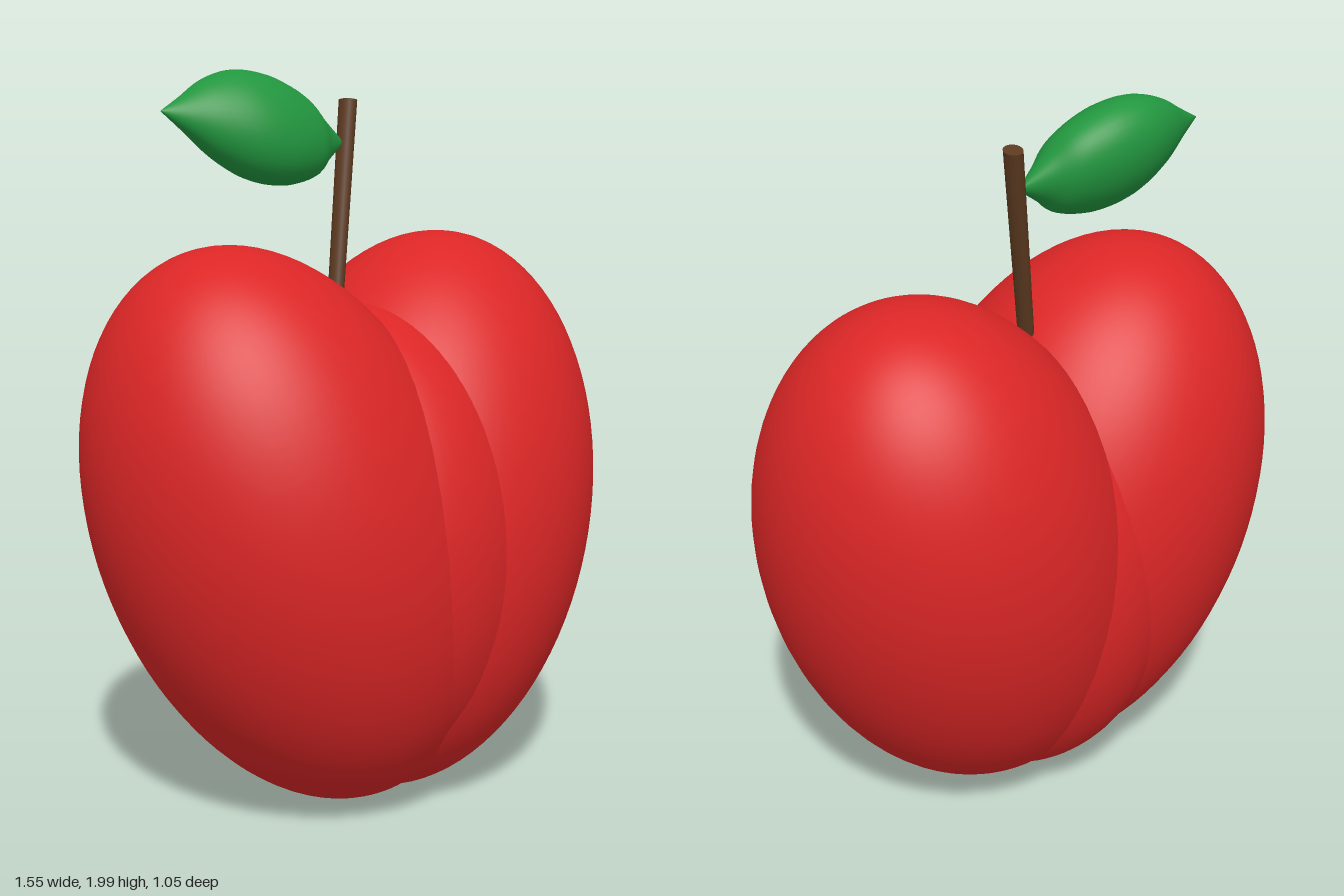
import * as THREE from 'three';

const V = (x, y, z) => new THREE.Vector3(x, y, z);
const UP = V(0, 1, 0);

function material(name, color) {
  const m = new THREE.MeshStandardMaterial({ color });
  m.name = name;
  return m;
}

export function createModel() {
  const model = new THREE.Group();
  model.name = 'apple';

  const red = material('red skin', 0xdc2626);
  const brown = material('brown stem', 0x5c3a20);
  const green = material('green leaf', 0x22963f);

  const add = (name, geometry, mat) => {
    const mesh = new THREE.Mesh(geometry, mat);
    mesh.name = name;
    model.add(mesh);
    return mesh;
  };

  // Two egg-shaped lobes leaning outwards and slightly back
  const ball = new THREE.SphereGeometry(1, 64, 48);
  for (const side of [1, -1]) {
    const lobe = add(side > 0 ? 'leftLobe' : 'rightLobe', ball, red);
    lobe.scale.set(0.515, 0.8, 0.515);
    lobe.position.set(side * 0.225, 0.78, -0.005);
    lobe.quaternion.setFromUnitVectors(UP, V(side * 0.324, 0.938, -0.124).normalize());
  }

  // Core that fills the groove between the lobes
  const core = add('core', ball, red);
  core.scale.set(0.45, 0.68, 0.51);
  core.position.set(0, 0.7, 0.01);

  // Leaning stem, slightly oval in section
  const base = V(-0.016, 1.3, -0.057);
  const tip = V(0.108, 1.92, -0.14);
  const along = tip.clone().sub(base);
  const stem = add('stem', new THREE.CylinderGeometry(0.026, 0.022, along.length(), 20), brown);
  stem.scale.set(0.9, 1, 1.12);
  stem.position.copy(base).add(tip).multiplyScalar(0.5);
  stem.quaternion.setFromUnitVectors(UP, along.normalize());

  // Plump leaf: pointed lathe, flattened and twisted about its long axis
  const profile = new THREE.SplineCurve([
    [0, 0], [0.13, 0.052], [0.25, 0.102], [0.38, 0.138], [0.5, 0.15],
    [0.63, 0.143], [0.77, 0.112], [0.86, 0.066], [0.94, 0.028], [1, 0],
  ].map(([t, r]) => new THREE.Vector2(r * 1.07, t))).getPoints(40);
  profile.forEach((p) => { p.x = Math.max(p.x, 0); });
  const leafShape = new THREE.LatheGeometry(profile, 40);
  const outer = V(-0.49, 1.897, -0.19);
  const inner = V(0.08, 1.805, -0.125);
  const frame = new THREE.Matrix4().makeBasis(
    V(0, 0.857, -0.515),
    inner.clone().sub(outer),
    V(0, -0.515, -0.857).multiplyScalar(0.72),
  ).setPosition(outer);
  add('leaf', leafShape.applyMatrix4(frame), green);

  return model;
}
